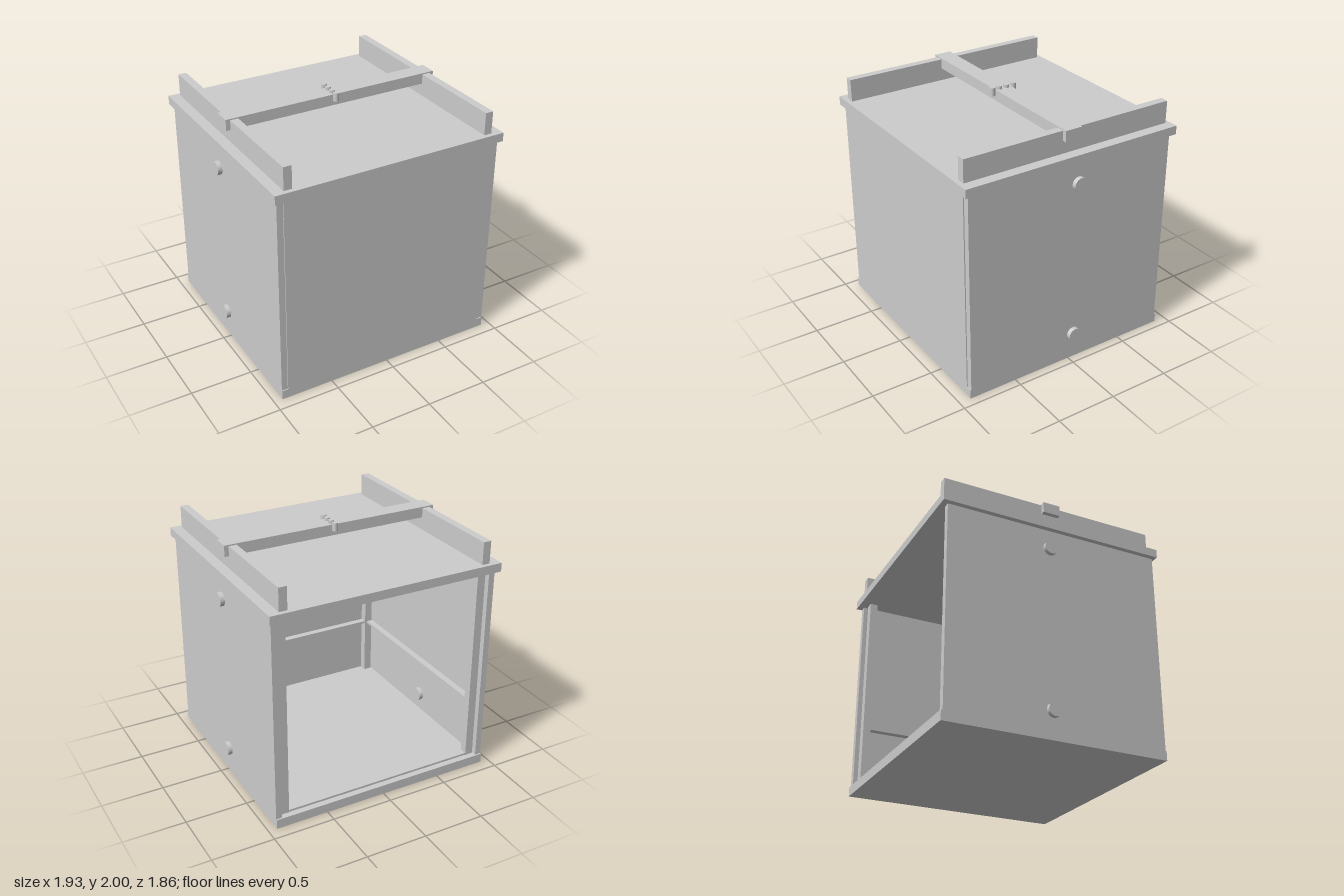
import * as THREE from 'three';

export function createModel() {
  const model = new THREE.Group();
  model.name = 'cabinet';
  const grey = new THREE.MeshStandardMaterial({ color: 0xcccccc });
  grey.name = 'light grey';

  const add = (name, geometry) => {
    const mesh = new THREE.Mesh(geometry, grey);
    mesh.name = name;
    model.add(mesh);
    return mesh;
  };
  // Box given by its lower and upper limits on each axis
  const box = (name, x0, x1, y0, y1, z0, z1) =>
    add(name, new THREE.BoxGeometry(x1 - x0, y1 - y0, z1 - z0))
      .position.set((x0 + x1) / 2, (y0 + y1) / 2, (z0 + z1) / 2);
  // Same box mirrored to the other side
  const pair = (name, x0, x1, ...rest) => {
    box(name + 'Left', x0, x1, ...rest);
    box(name + 'Right', -x1, -x0, ...rest);
  };

  // Enclosure, open at the back
  box('base', -0.93, 0.93, 0, 0.078, -0.9, 0.905);
  box('frontPanel', -0.88, 0.88, 0.078, 1.705, 0.855, 0.905);
  pair('sidePanel', 0.88, 0.93, 0.078, 1.705, -0.887, 0.897);
  box('lid', -0.956, 0.956, 1.715, 1.785, -0.93, 0.93);

  // Corner posts that carry the lid
  pair('frontPost', 0.805, 0.872, 0.078, 1.715, 0.79, 0.855);
  pair('backPost', 0.805, 0.872, 0.078, 1.715, -0.853, -0.79);

  // Door sill and inner ledges
  box('doorSill', -0.805, 0.805, 0.078, 0.095, -0.85, -0.79);
  pair('sideLedge', 0.825, 0.88, 0.56, 0.58, -0.79, 0.79);
  box('frontLedge', -0.805, 0.805, 0.56, 0.58, 0.8, 0.855);

  // Bar under the lid
  box('innerBar', -0.26, 0.26, 1.685, 1.715, 0.01, 0.07);

  // Top rails and the crossbar let into them
  pair('topRail', 0.805, 0.87, 1.785, 1.965, -0.895, 0.893);
  box('crossbar', -0.905, 0.905, 1.887, 1.975, -0.071, 0.069);

  // Row of pegs on the crossbar
  for (const z of [-0.095, -0.032, 0.032, 0.095]) {
    add('peg', new THREE.CylinderGeometry(0.023, 0.023, 0.067, 24)).position.set(0, 1.9665, z);
  }

  // Round bushings passing through the side panels
  for (const x of [-0.905, 0.905]) {
    for (const y of [0.225, 1.545]) {
      const bushing = add('bushing', new THREE.CylinderGeometry(0.055, 0.055, 0.12, 32));
      bushing.rotation.z = Math.PI / 2;
      bushing.position.set(x, y, -0.04);
    }
  }
  return model;
}
